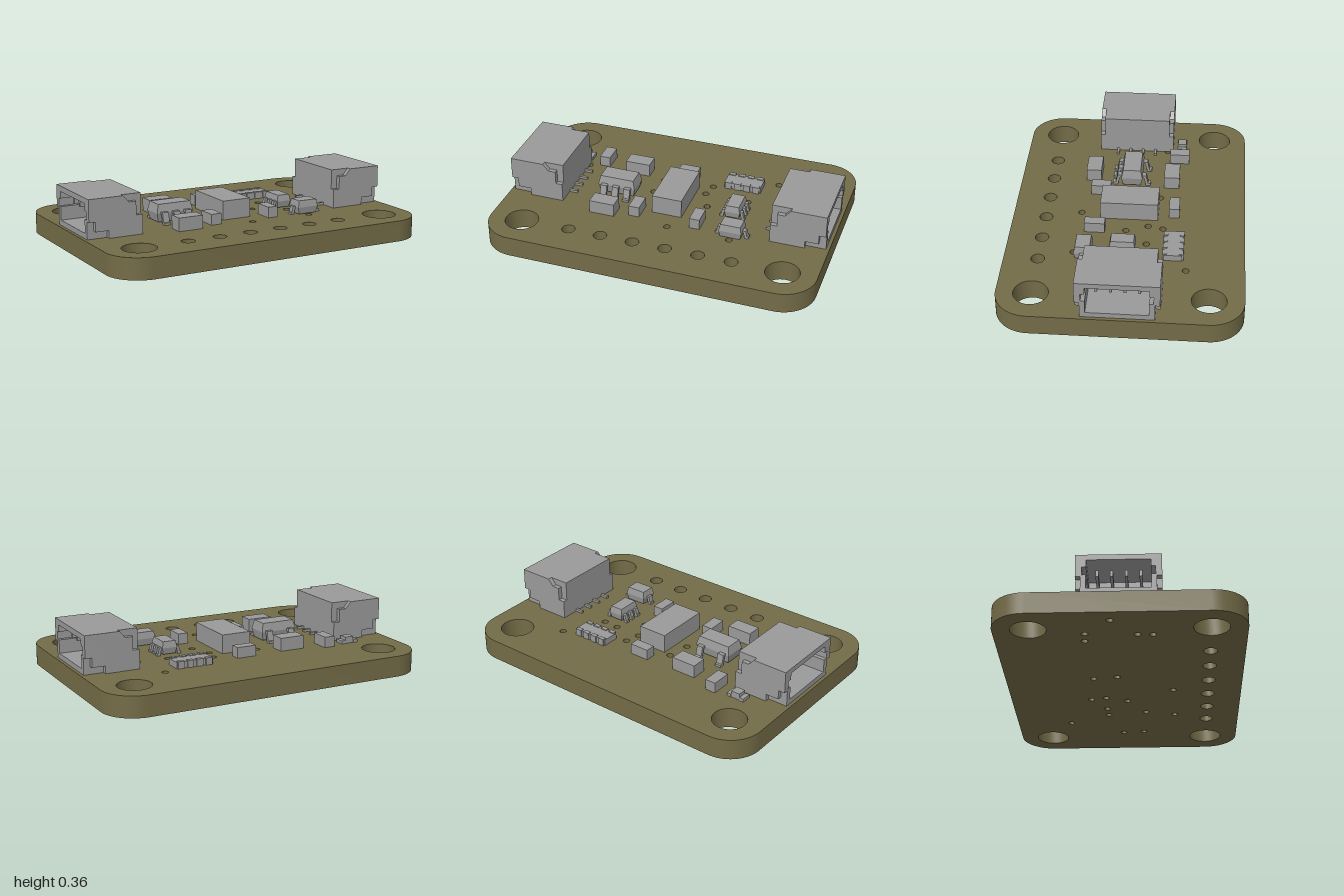
import * as THREE from 'three';
import { toCreasedNormals } from 'three/addons/utils/BufferGeometryUtils.js';

const TOP = 0.125; // upper face of the board

const boardMat = new THREE.MeshStandardMaterial({ color: 0x736b47 });
boardMat.name = 'olive board';
const partMat = new THREE.MeshStandardMaterial({ color: 0x999999 });
partMat.name = 'grey component';

function add(parent, name, geometry, mat = partMat) {
  const mesh = new THREE.Mesh(geometry, mat);
  mesh.name = name;
  parent.add(mesh);
  return mesh;
}

// Box given by its extents
function block(parent, name, x0, x1, y0, y1, z0, z1) {
  const mesh = add(parent, name, new THREE.BoxGeometry(x1 - x0, y1 - y0, z1 - z0));
  mesh.position.set((x0 + x1) / 2, (y0 + y1) / 2, (z0 + z1) / 2);
  return mesh;
}

const polygon = (pts) => new THREE.Shape(pts.map(([x, y]) => new THREE.Vector2(x, y)));

function extrude(shape, depth, curveSegments = 12) {
  return new THREE.ExtrudeGeometry(shape, { depth, bevelEnabled: false, curveSegments });
}

// Moulded chip body, widest at half height
function mouldedBody(parent, name, x0, x1, y0, y1, z0, z1, inset = 0.012) {
  const w = x1 - x0, h = y1 - y0, d = z1 - z0;
  const box = new THREE.BoxGeometry(w, h, d, 1, 2, 1);
  const p = box.attributes.position;
  for (let i = 0; i < p.count; i++) {
    if (Math.abs(p.getY(i)) > h / 4) {
      p.setX(i, p.getX(i) * (1 - (2 * inset) / w));
      p.setZ(i, p.getZ(i) * (1 - (2 * inset) / d));
    }
  }
  const geometry = box.toNonIndexed();
  geometry.computeVertexNormals();
  const mesh = add(parent, name, geometry);
  mesh.position.set((x0 + x1) / 2, (y0 + y1) / 2, (z0 + z1) / 2);
}

// Gull-wing lead running outward along local +x, then turned by angle about y
function lead(parent, x, z, angle, reach, rise, width) {
  const t = 0.014, k = reach * 0.3, m = reach * 0.55;
  const shape = polygon([
    [-0.02, rise - t], [k - t * 0.5, rise - t], [m - t * 0.5, 0], [reach, 0],
    [reach, t], [m + t * 0.5, t], [k + t * 0.5, rise], [-0.02, rise],
  ]);
  const geometry = extrude(shape, width);
  geometry.translate(0, 0, -width / 2);
  const mesh = add(parent, 'lead', geometry);
  mesh.position.set(x, TOP, z);
  mesh.rotation.y = angle;
}

function makeBoard() {
  const s = new THREE.Shape();
  const w = 1, d = 0.7, r = 0.2;
  s.moveTo(-w + r, -d);
  s.lineTo(w - r, -d);
  s.absarc(w - r, -d + r, r, -Math.PI / 2, 0);
  s.lineTo(w, d - r);
  s.absarc(w - r, d - r, r, 0, Math.PI / 2);
  s.lineTo(-w + r, d);
  s.absarc(-w + r, d - r, r, Math.PI / 2, Math.PI);
  s.lineTo(-w, -d + r);
  s.absarc(-w + r, -d + r, r, Math.PI, Math.PI * 1.5);
  const hole = (x, z, radius) => {
    const path = new THREE.Path();
    path.absarc(x, -z, radius, 0, Math.PI * 2, true);
    s.holes.push(path);
  };
  // mounting holes, header holes, vias
  for (const x of [-0.8, 0.8]) for (const z of [-0.5, 0.5]) hole(x, z, 0.1);
  for (let i = 0; i < 6; i++) hole(-0.5 + i * 0.2, 0.5, 0.04);
  const vias = [
    [0.55, -0.36], [0.17, -0.21], [0.15, -0.12], [0.32, -0.12], [0.42, -0.115], [0.2, 0.01],
    [-0.14, -0.18], [-0.16, -0.04], [0.38, 0.12], [0.04, 0.29], [0.425, 0.3], [-0.65, -0.2],
    [0.72, -0.03], [0.71, 0.1], [-0.74, -0.195], [-0.9, -0.05], [-0.725, 0.095], [-0.72, 0.18],
  ];
  for (const [x, z] of vias) hole(x, z, 0.02);
  const geometry = extrude(s, TOP, 16);
  geometry.rotateX(-Math.PI / 2);
  return toCreasedNormals(geometry, 0.6);
}

// Side-entry socket opening toward +x
function makeConnector() {
  const g = new THREE.Group();
  const y1 = 0.36, zc = 0.207, back = 0.72;
  // open shell with keyed cavity
  const shell = polygon([[-zc, TOP], [zc, TOP], [zc, y1], [-zc, y1]]);
  shell.holes.push(polygon([
    [-0.176, 0.156], [-0.176, 0.237], [-0.2, 0.237], [-0.2, 0.286], [-0.176, 0.286], [-0.176, 0.328],
    [0.176, 0.328], [0.176, 0.286], [0.2, 0.286], [0.2, 0.237], [0.176, 0.237], [0.176, 0.156],
  ]));
  const shellGeometry = extrude(shell, 0.98 - back);
  shellGeometry.rotateY(Math.PI / 2);
  add(g, 'connectorShell', shellGeometry).position.x = back;
  block(g, 'connectorBack', 0.65, back, TOP, y1, -zc, zc);
  // stepped cheeks on both sides
  const cheek = extrude(polygon([
    [0.65, TOP], [0.86, TOP], [0.86, 0.17], [0.94, 0.17], [0.94, 0.227], [0.98, 0.227],
    [0.98, y1], [0.77, y1], [0.735, 0.32], [0.69, 0.32], [0.69, 0.24], [0.65, 0.24],
  ]), 0.235 - zc);
  add(g, 'connectorCheek', cheek).position.z = zc;
  add(g, 'connectorCheek', cheek).position.z = -0.235;
  // contacts inside and solder tails behind
  for (let i = 0; i < 4; i++) {
    const z = -0.12 + i * 0.08;
    block(g, 'contactPin', back - 0.01, 0.92, 0.258, 0.294, z - 0.008, z + 0.008);
    block(g, 'solderTail', 0.6, 0.66, TOP, 0.14, z - 0.008, z + 0.008);
  }
  return g;
}

export function createModel() {
  const model = new THREE.Group();
  model.name = 'circuitBoard';
  add(model, 'board', makeBoard(), boardMat);

  const rightwardConnector = makeConnector();
  rightwardConnector.name = 'leftConnector';
  const otherConnector = makeConnector();
  otherConnector.name = 'rightConnector';
  otherConnector.rotation.y = Math.PI;
  model.add(rightwardConnector, otherConnector);

  // plain rectangular parts: x0, x1, top, z0, z1
  const blocks = [
    ['mainChip', -0.095, 0.09, 0.24, -0.175, 0.173],
    ['capacitor', -0.4, -0.245, 0.205, -0.29, -0.195],
    ['capacitor', -0.45, -0.295, 0.205, 0.2, 0.293],
    ['resistor', -0.587, -0.52, 0.19, -0.343, -0.22],
    ['resistor', -0.217, -0.15, 0.19, 0.13, 0.25],
    ['resistor', 0.167, 0.23, 0.19, 0.135, 0.257],
    ['resistor', -0.065, 0.057, 0.19, -0.303, -0.24],
  ];
  for (const [name, x0, x1, y, z0, z1] of blocks) block(model, name, x0, x1, TOP, y, z0, z1);

  // resistor array with end terminals
  const array = new THREE.Group();
  array.name = 'resistorArray';
  block(array, 'arrayBody', 0.235, 0.465, TOP, 0.163, -0.335, -0.228);
  for (let i = 0; i < 4; i++) {
    const x = 0.262 + i * 0.0587;
    for (const z of [-0.33, -0.233]) {
      block(array, 'arrayTerminal', x - 0.02, x + 0.02, TOP, 0.168, z - 0.013, z + 0.013);
    }
  }
  model.add(array);

  // indicator lamp
  const lamp = new THREE.Group();
  lamp.name = 'indicatorLamp';
  block(lamp, 'lampBase', -0.745, -0.675, TOP, 0.14, -0.318, -0.265);
  block(lamp, 'lampLens', -0.738, -0.682, 0.14, 0.165, -0.318, -0.265);
  block(lamp, 'lampPad', -0.767, -0.74, TOP, 0.145, -0.322, -0.262);
  block(lamp, 'lampPad', -0.68, -0.655, TOP, 0.145, -0.322, -0.262);
  model.add(lamp);

  // five-lead regulator
  const regulator = new THREE.Group();
  regulator.name = 'regulator';
  mouldedBody(regulator, 'regulatorBody', -0.48, -0.245, 0.133, 0.24, -0.06, 0.073);
  for (const x of [-0.437, -0.362, -0.287]) lead(regulator, x, 0.073, -Math.PI / 2, 0.053, 0.07, 0.04);
  for (const x of [-0.437, -0.287]) lead(regulator, x, -0.06, Math.PI / 2, 0.05, 0.07, 0.04);
  model.add(regulator);

  // six-lead transistor pair
  const pair = new THREE.Group();
  pair.name = 'transistorPair';
  mouldedBody(pair, 'transistorBody', 0.332, 0.427, 0.133, 0.21, -0.06, 0.092, 0.008);
  for (const z of [-0.035, 0.016, 0.067]) {
    lead(pair, 0.427, z, 0, 0.028, 0.05, 0.024);
    lead(pair, 0.332, z, Math.PI, 0.032, 0.05, 0.024);
  }
  model.add(pair);

  // diode
  const diode = new THREE.Group();
  diode.name = 'diode';
  mouldedBody(diode, 'diodeBody', 0.358, 0.495, 0.13, 0.212, 0.19, 0.292, 0.008);
  lead(diode, 0.495, 0.24, 0, 0.035, 0.05, 0.032);
  lead(diode, 0.358, 0.24, Math.PI, 0.03, 0.05, 0.032);
  model.add(diode);

  return model;
}
